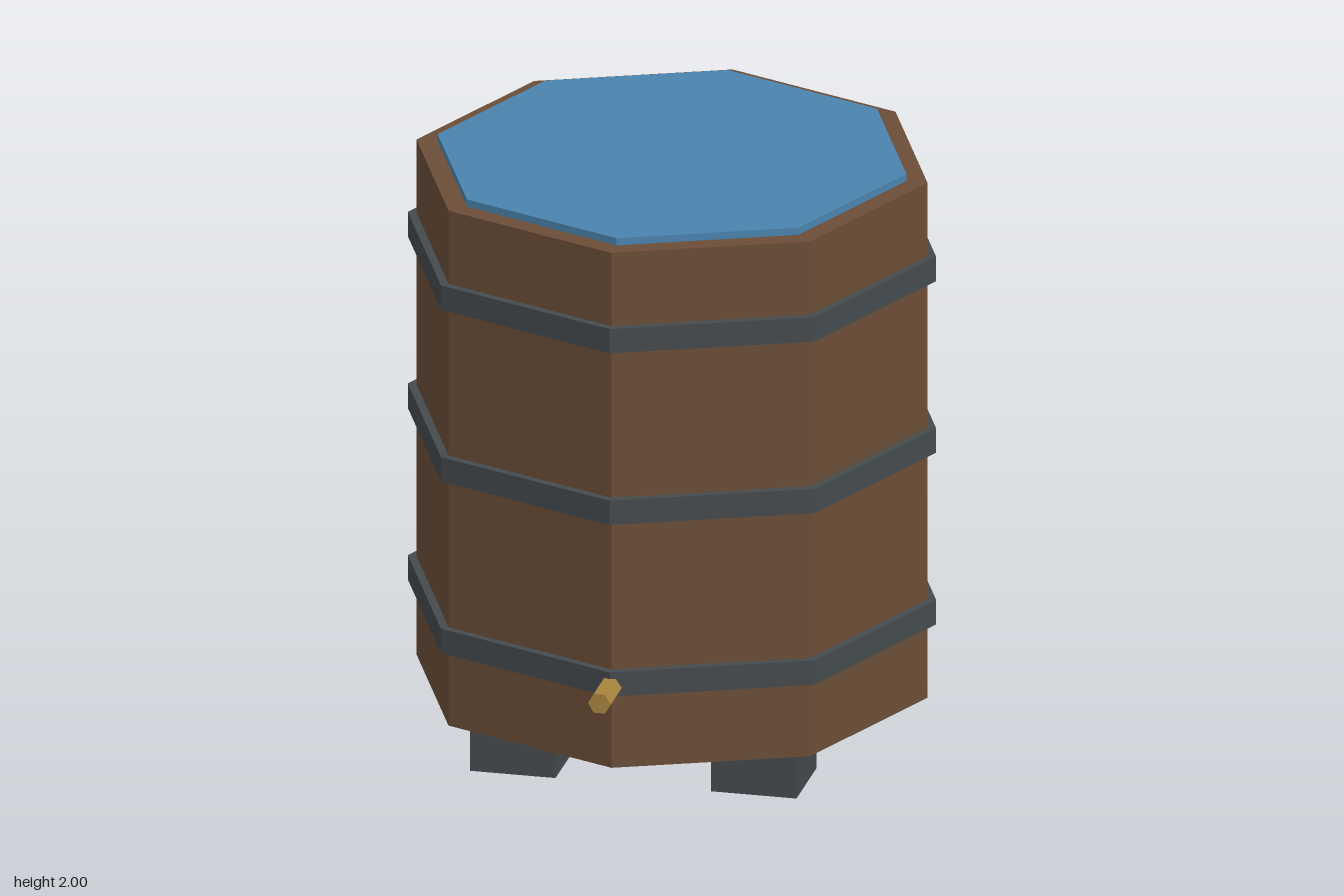
import * as THREE from 'three';

const SIDES = 8;
const AXIS_Z = -0.071; // tank axis, set back to leave room for the tap
const TANK_R = 0.857;

const material = (name, color) => {
  const m = new THREE.MeshStandardMaterial({ color, flatShading: true });
  m.name = name;
  return m;
};

export function createModel() {
  const wood = material('brown wood', 0x6b4e37);
  const iron = material('dark iron', 0x454a4e);
  const water = material('blue water', 0x4a84ae);
  const brass = material('brass', 0xa8843f);

  const model = new THREE.Group();
  model.name = 'waterBarrel';

  const add = (name, geometry, mat, x, y, z) => {
    const mesh = new THREE.Mesh(geometry, mat);
    mesh.name = name;
    mesh.position.set(x, y, z);
    model.add(mesh);
    return mesh;
  };

  // Octagonal body, corners on the x and z axes
  add('body', new THREE.CylinderGeometry(TANK_R, TANK_R, 1.8, SIDES), wood, 0, 1.075, AXIS_Z);

  // Water slab standing just proud of the rim
  add('waterSurface', new THREE.CylinderGeometry(0.786, 0.786, 0.07, SIDES), water, 0, 1.965, AXIS_Z);

  // Three hoops with a rectangular section
  const inner = TANK_R - 0.01, outer = 0.886, half = 0.0425;
  const section = [[inner, -half], [outer, -half], [outer, half], [inner, half]]
    .map(([r, y]) => new THREE.Vector2(r, y));
  for (const y of [0.477, 1.077, 1.677]) {
    add('hoop', new THREE.LatheGeometry(section, SIDES), iron, 0, y, AXIS_Z);
  }

  // Four square feet
  for (const sx of [-1, 1]) {
    for (const sz of [-1, 1]) {
      add('foot', new THREE.BoxGeometry(0.286, 0.18, 0.286), iron, sx * 0.404, 0.09, AXIS_Z + sz * 0.404);
    }
  }

  // Six-sided tap on the front corner, flat side up
  const tap = new THREE.CylinderGeometry(0.038, 0.038, 0.214, 6);
  tap.rotateY(Math.PI / 6).rotateX(Math.PI / 2);
  add('tap', tap, brass, 0, 0.463, 0.85);

  return model;
}
